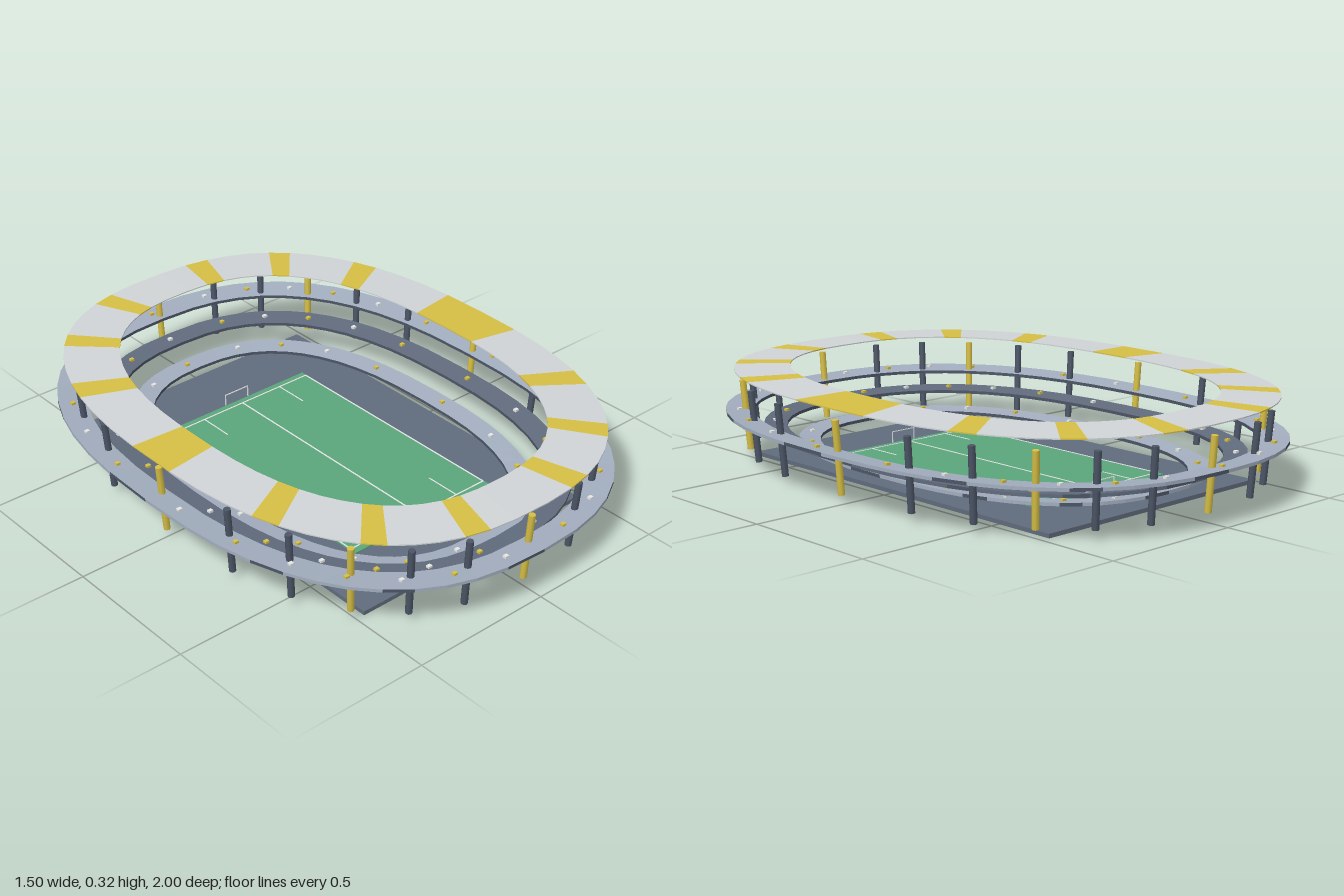
import * as THREE from 'three';

const mat = (name, color) => {
  const m = new THREE.MeshStandardMaterial({ color });
  m.name = name;
  return m;
};

// Point on a rounded oval (superellipse) with half widths a (x) and b (z)
const oval = (a, b, y, t) => {
  const p = v => Math.sign(v) * Math.pow(Math.abs(v), 0.8);
  return new THREE.Vector3(a * p(Math.cos(t)), y, b * p(Math.sin(t)));
};

// Oval slab; inner and outer are [a, b, y]; pick(i, face) returns a material
function ringSlab(name, inner, outer, thick, segments, pick) {
  const buckets = new Map();
  const quad = (m, a, b, c, d) => {
    if (!buckets.has(m)) buckets.set(m, []);
    for (const p of [a, b, c, a, c, d]) buckets.get(m).push(p.x, p.y, p.z);
  };
  for (let i = 0; i < segments; i++) {
    const [t0, t1] = [i, i + 1].map(k => (k / segments) * Math.PI * 2);
    const at = (r, t, drop) => oval(r[0], r[1], r[2] - drop, t);
    const [i0, i1, o1, o0] = [at(inner, t0, 0), at(inner, t1, 0), at(outer, t1, 0), at(outer, t0, 0)];
    const [j0, j1, p1, p0] = [at(inner, t0, thick), at(inner, t1, thick), at(outer, t1, thick), at(outer, t0, thick)];
    quad(pick(i, 'top'), i0, i1, o1, o0);
    quad(pick(i, 'bottom'), p0, p1, j1, j0);
    quad(pick(i, 'outer'), o0, o1, p1, p0);
    quad(pick(i, 'inner'), j0, j1, i1, i0);
  }
  const group = new THREE.Group();
  group.name = name;
  for (const [m, pos] of buckets) {
    const g = new THREE.BufferGeometry();
    g.setAttribute('position', new THREE.Float32BufferAttribute(pos, 3));
    g.computeVertexNormals();
    const mesh = new THREE.Mesh(g, m);
    mesh.name = name + 'Panels';
    group.add(mesh);
  }
  return group;
}

export function createModel() {
  const model = new THREE.Group();
  model.name = 'stadium';
  const slate = mat('slate', 0x606b7c);
  const dark = mat('dark steel', 0x4c5566);
  const concrete = mat('concrete', 0xa2adbe);
  const roofGrey = mat('roof grey', 0xd0d4d6);
  const yellow = mat('yellow', 0xd6bf45);
  const grass = mat('grass', 0x5aa67c);
  const white = mat('white', 0xeef0ee);

  const box = (name, m, w, h, d, x, y, z, parent = model) => {
    const mesh = new THREE.Mesh(new THREE.BoxGeometry(w, h, d), m);
    mesh.name = name;
    mesh.position.set(x, y, z);
    parent.add(mesh);
    return mesh;
  };

  // Ground slab and pitch
  box('baseSlab', slate, 0.94, 0.014, 1.43, 0, 0.007, 0);
  box('pitch', grass, 0.595, 0.006, 0.96, 0, 0.016, 0);

  // Pitch markings
  const lines = new THREE.Group();
  lines.name = 'pitchLines';
  model.add(lines);
  const line = (w, d, x, z) => box('pitchLine', white, w, 0.002, d, x, 0.0195, z, lines);
  line(0.005, 0.91, 0, 0);
  for (const s of [-1, 1]) {
    line(0.005, 0.91, s * 0.293, 0);
    line(0.59, 0.005, 0, s * 0.455);
    for (const x of [-0.17, 0.17]) line(0.004, 0.13, x, s * 0.39);
  }

  // Goals
  for (const s of [-1, 1]) {
    const goal = new THREE.Group();
    goal.name = s > 0 ? 'frontGoal' : 'backGoal';
    goal.position.z = s * 0.488;
    model.add(goal);
    for (const x of [-0.05, 0.05]) box('goalPost', white, 0.003, 0.042, 0.003, x, 0.034, 0, goal);
    box('goalCrossbar', white, 0.103, 0.003, 0.003, 0, 0.055, 0, goal);
  }

  // Three seating tiers, sloping down towards the pitch
  const tiers = [
    { name: 'lowerTier', inner: [0.447, 0.695, 0.063], outer: [0.517, 0.765, 0.07], top: concrete, seats: 19 },
    { name: 'middleTier', inner: [0.555, 0.80, 0.119], outer: [0.632, 0.872, 0.127], top: slate, seats: 23 },
    { name: 'upperTier', inner: [0.66, 0.91, 0.172], outer: [0.75, 1.0, 0.18], top: concrete, seats: 27 },
  ];
  for (const { name, inner, outer, top, seats } of tiers) {
    model.add(ringSlab(name, inner, outer, 0.011, 48, (i, face) => {
      if (face === 'inner') return dark;
      if (face === 'top') return top;
      return i % 4 === 0 ? dark : top;
    }));
    // Small seat blocks along each tier
    const mid = inner.map((v, k) => (v + outer[k]) / 2);
    for (let i = 0; i < seats; i++) {
      const p = oval(...mid, 0.045 + (i / seats) * Math.PI * 2);
      box('seatBlock', i % 2 ? white : yellow, 0.015, 0.01, 0.013, p.x, p.y + 0.003, p.z);
    }
  }

  // Leaning columns, every third one yellow
  const up = new THREE.Vector3(0, 1, 0);
  for (let i = 0; i < 24; i++) {
    const t = (i / 24) * Math.PI * 2;
    const foot = oval(0.673, 0.922, 0.032, t);
    const head = oval(0.693, 0.942, 0.275, t);
    const dir = head.clone().sub(foot);
    const column = new THREE.Mesh(
      new THREE.CylinderGeometry(0.0115, 0.0115, dir.length(), 8), i % 3 ? dark : yellow);
    column.name = 'column';
    column.position.copy(foot).add(head).multiplyScalar(0.5);
    column.quaternion.setFromUnitVectors(up, dir.normalize());
    model.add(column);
  }

  // Roof ring with yellow stripes
  model.add(ringSlab('roof', [0.54, 0.79, 0.324], [0.72, 0.97, 0.318], 0.004, 57,
    i => (i % 4 === 0 ? yellow : roofGrey)));

  return model;
}
